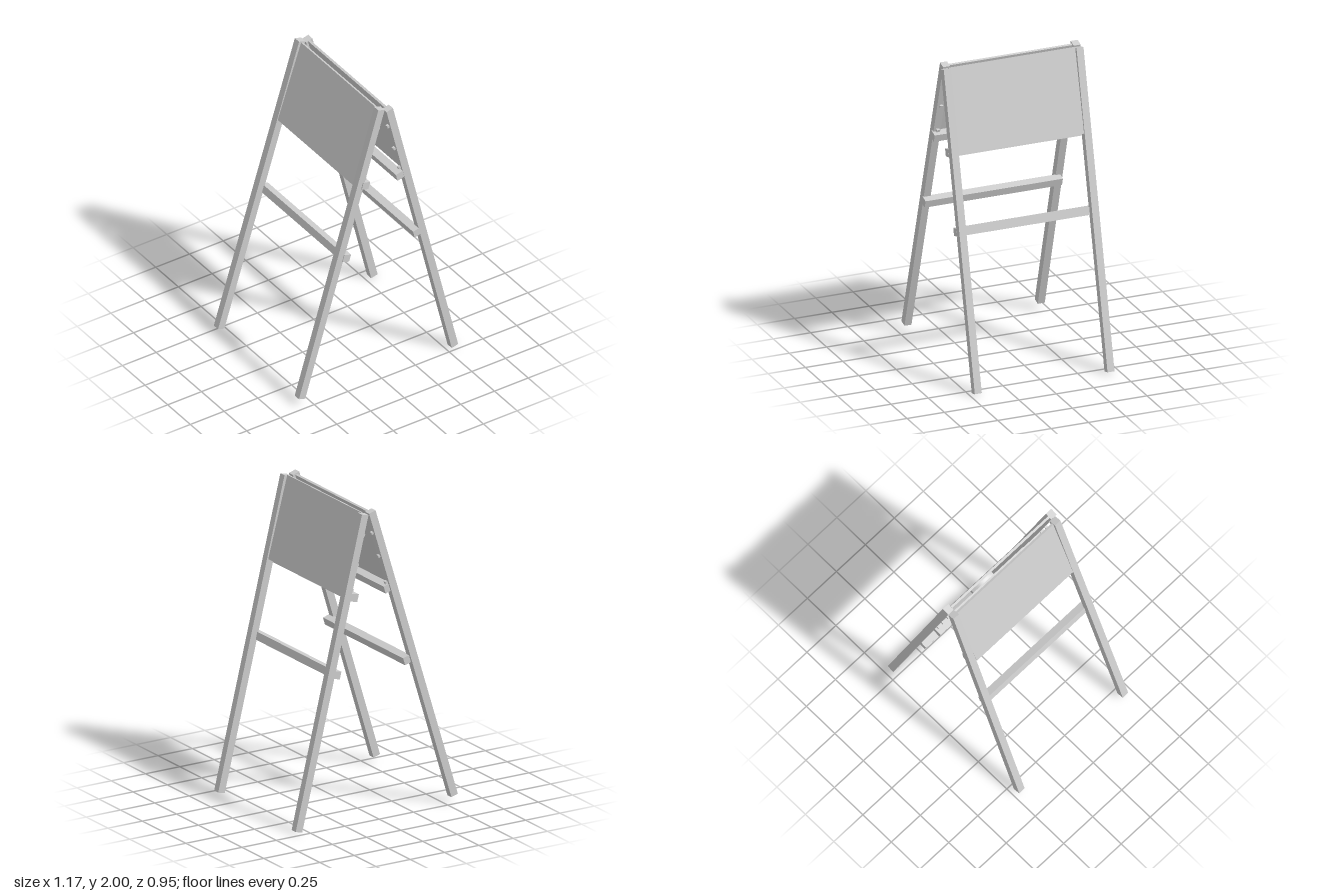
import * as THREE from 'three';

const material = new THREE.MeshStandardMaterial({ color: 0xcccccc, flatShading: true });

// Straight timber from p to q: w across its slope, d along z
function timber(name, p, q, w, d) {
  const a = new THREE.Vector3(...p), b = new THREE.Vector3(...q);
  const up = b.clone().sub(a);
  const length = up.length();
  up.normalize();
  const side = up.clone().cross(new THREE.Vector3(0, 0, 1)).normalize();
  const depth = side.clone().cross(up);
  const mesh = new THREE.Mesh(new THREE.BoxGeometry(w, length, d), material);
  mesh.name = name;
  mesh.quaternion.setFromRotationMatrix(new THREE.Matrix4().makeBasis(side, up, depth));
  mesh.position.copy(a).add(b).multiplyScalar(0.5);
  return mesh;
}

// The two leaning frames; each is given by its centre line in x and y
const frames = [
  {
    name: 'rightFrame', foot: [-0.564, 0.046], top: [0.027, 1.992],
    legs: [[0.438, 0.434], [-0.455, -0.441]], // z at foot and at top
    bars: [[-0.235, 0.98], [-0.093, 1.472]], barZ: [-0.455, 0.465],
    panel: [[-0.147, 1.468], [0.026, 1.985]], panelZ: [-0.418, 0.415],
    pegs: [[0.013, 1.848], [-0.036, 1.69], [-0.088, 1.51]],
  },
  {
    name: 'leftFrame', foot: [0.56, 0.007], top: [0.077, 1.982],
    legs: [[0.451, 0.451], [-0.438, -0.438]],
    bars: [[0.28, 0.976], [0.153, 1.456]], barZ: [-0.46, 0.475],
    panel: [[0.212, 1.462], [0.073, 1.985]], panelZ: [-0.416, 0.43],
    pegs: [[0.08, 1.848], [0.125, 1.663], [0.164, 1.505]],
  },
];

export function createModel() {
  const model = new THREE.Group();
  model.name = 'foldingSignStand';

  for (const f of frames) {
    const frame = new THREE.Group();
    frame.name = f.name;
    const tilt = Math.atan2(f.foot[0] - f.top[0], f.top[1] - f.foot[1]);

    // Legs, with small pegs on their inner faces
    f.legs.forEach(([zFoot, zTop], i) => {
      const end = i ? 'back' : 'front';
      frame.add(timber(`${end}Leg`, [...f.foot, zFoot], [...f.top, zTop], 0.049, 0.047));
      for (const [x, y] of f.pegs) {
        const peg = new THREE.Mesh(new THREE.BoxGeometry(0.022, 0.016, 0.02), material);
        peg.name = `${end}Peg`;
        peg.position.set(x, y, zTop);
        peg.rotation.z = tilt;
        frame.add(peg);
      }
    });

    // Crossbars against the inner faces of the legs
    const [z0, z1] = f.barZ;
    f.bars.forEach(([x, y], i) => {
      const bar = new THREE.Mesh(new THREE.BoxGeometry(0.051, 0.05, z1 - z0), material);
      bar.name = i ? 'upperCrossbar' : 'lowerCrossbar';
      bar.position.set(x, y, (z0 + z1) / 2);
      bar.rotation.z = tilt;
      frame.add(bar);
    });

    // Thin board between the legs
    const [a, b] = f.panelZ, mid = (a + b) / 2;
    frame.add(timber('board', [...f.panel[0], mid], [...f.panel[1], mid], 0.015, b - a));
    model.add(frame);
  }
  return model;
}
